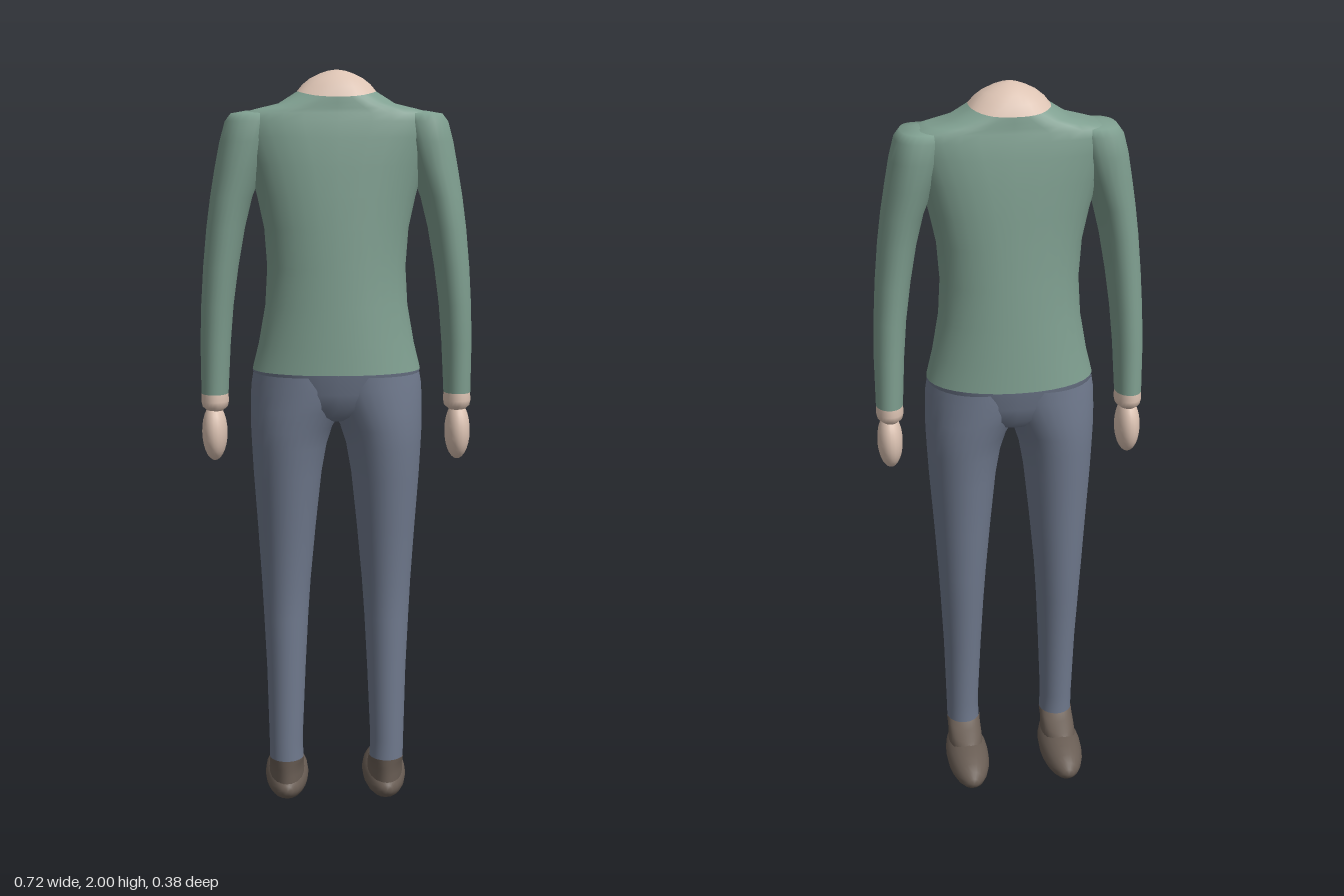
import * as THREE from 'three';

const mat = (name, color) => new THREE.MeshStandardMaterial({ name, color });

// Skin through horizontal sections, listed bottom to top:
// [y, inner x, outer x, back z, front z, squareness, side lift]
function loft(sections, side = 1, n = 32) {
  const pos = [], idx = [];
  sections.forEach(([y, x0, x1, z0, z1, p = 2, lift = 0]) => {
    const cx = side * (x0 + x1) / 2, rx = (x1 - x0) / 2;
    const cz = (z0 + z1) / 2, rz = (z1 - z0) / 2;
    for (let j = 0; j < n; j++) {
      const a = j / n * Math.PI * 2, c = Math.cos(a), s = Math.sin(a);
      pos.push(
        cx + rx * Math.sign(c) * Math.abs(c) ** (2 / p),
        y + lift * c * c,
        cz + rz * Math.sign(s) * Math.abs(s) ** (2 / p));
    }
  });
  for (let i = 0; i < sections.length - 1; i++)
    for (let j = 0; j < n; j++) {
      const a = i * n + j, b = i * n + (j + 1) % n;
      idx.push(a, a + n, b, b, a + n, b + n);
    }
  const g = new THREE.BufferGeometry();
  g.setAttribute('position', new THREE.Float32BufferAttribute(pos, 3));
  g.setIndex(idx);
  g.computeVertexNormals();
  return g;
}

// Section centred on x = 0
const mid = (y, hw, z0, z1, p, lift) => [y, -hw, hw, z0, z1, p, lift];

export function createModel() {
  const model = new THREE.Group();
  const shirt = mat('shirt green', 0x7f9f90);
  const trousers = mat('trouser blue', 0x707a8e);
  const skin = mat('skin', 0xdcc3b3);
  const leather = mat('shoe brown', 0x6a5e55);
  const add = (name, geo, material) => {
    const m = new THREE.Mesh(geo, material);
    m.name = name;
    model.add(m);
    return m;
  };

  // Shirt body, flaring into square shoulders and closing in on the neck
  add('torso', loft([
    mid(1.232, 0.222, -0.112, 0.190, 2.1),
    mid(1.30, 0.205, -0.108, 0.187, 2.1),
    mid(1.40, 0.187, -0.101, 0.181, 2.1),
    mid(1.50, 0.181, -0.094, 0.175, 2.1),
    mid(1.60, 0.188, -0.086, 0.169, 2.2),
    mid(1.68, 0.205, -0.081, 0.162, 2.3),
    mid(1.76, 0.226, -0.075, 0.155, 2.5),
    mid(1.83, 0.248, -0.067, 0.146, 2.8),
    mid(1.87, 0.260, -0.060, 0.138, 3),
    mid(1.89, 0.252, -0.055, 0.132, 3),
    mid(1.902, 0.205, -0.053, 0.130, 3),
    mid(1.915, 0.150, -0.052, 0.129, 3),
    mid(1.93, 0.102, -0.050, 0.127, 2.8, 0.015),
  ]), shirt);

  // Rounded stump of the neck
  add('neck', loft([
    mid(1.93, 0.102, -0.050, 0.127, 2.8, 0.015),
    mid(1.955, 0.087, -0.040, 0.117, 2.4, 0.008),
    mid(1.975, 0.068, -0.024, 0.101, 2.1, 0.003),
    mid(1.99, 0.043, -0.002, 0.079),
    mid(1.997, 0.022, 0.018, 0.060),
    mid(2.0, 0, 0.039, 0.039),
  ]), skin);

  // Seat of the trousers, closing between the legs
  add('hips', loft([
    mid(1.095, 0, 0.04, 0.04),
    mid(1.10, 0.045, -0.03, 0.11),
    mid(1.115, 0.10, -0.065, 0.145),
    mid(1.14, 0.165, -0.088, 0.166),
    mid(1.18, 0.212, -0.102, 0.180),
    mid(1.232, 0.222, -0.112, 0.190, 2.1),
  ]), trousers);

  for (const s of [1, -1]) {
    const tag = s > 0 ? 'left' : 'right';

    add(tag + 'Leg', loft([
      [0.14, 0.092, 0.185, -0.004, 0.101],
      [0.20, 0.094, 0.186, -0.005, 0.102],
      [0.40, 0.085, 0.191, -0.026, 0.106],
      [0.55, 0.077, 0.198, -0.044, 0.109],
      [0.65, 0.070, 0.203, -0.056, 0.112],
      [0.80, 0.056, 0.212, -0.070, 0.132],
      [0.95, 0.040, 0.222, -0.083, 0.154],
      [1.03, 0.026, 0.226, -0.091, 0.165],
      [1.08, 0.010, 0.228, -0.096, 0.171],
      [1.13, -0.02, 0.228, -0.101, 0.176],
      [1.19, -0.06, 0.226, -0.104, 0.180],
      [1.225, -0.06, 0.220, -0.104, 0.180],
    ], s), trousers);

    add(tag + 'Sleeve', loft([
      [1.165, 0.287, 0.359, -0.022, 0.077],
      [1.30, 0.279, 0.359, -0.022, 0.090],
      [1.40, 0.270, 0.355, -0.022, 0.102],
      [1.50, 0.256, 0.348, -0.024, 0.112],
      [1.60, 0.238, 0.338, -0.030, 0.120],
      [1.68, 0.218, 0.327, -0.038, 0.125],
      [1.75, 0.190, 0.315, -0.047, 0.129],
      [1.82, 0.170, 0.301, -0.053, 0.130, 2.3],
      [1.87, 0.160, 0.287, -0.050, 0.127, 2.5],
      [1.89, 0.160, 0.272, -0.040, 0.117, 2.5],
      [1.897, 0.180, 0.235, 0.01, 0.07],
      [1.898, 0.21, 0.21, 0.04, 0.04],
    ], s, 24), shirt);

    // Bare wrist below the sleeve
    add(tag + 'Wrist', loft([
      [1.118, 0.323, 0.323, 0.028, 0.028],
      [1.12, 0.300, 0.346, -0.006, 0.062],
      [1.13, 0.289, 0.357, -0.019, 0.074],
      [1.145, 0.286, 0.360, -0.023, 0.078],
      [1.167, 0.288, 0.358, -0.021, 0.076],
    ], s, 24), skin);

    const hand = add(tag + 'Hand', new THREE.SphereGeometry(1, 20, 14), skin);
    hand.scale.set(0.034, 0.077, 0.054);
    hand.position.set(s * 0.325, 1.06, 0.03);

    // Shoe: long rounded foot with the toe towards -z, and a sloping ankle
    const foot = add(tag + 'Shoe', new THREE.SphereGeometry(1, 20, 12).rotateX(Math.PI / 2), leather);
    foot.scale.set(0.061, 0.055, 0.15);
    foot.position.set(s * 0.138, 0.06, -0.04);

    add(tag + 'ShoeAnkle', loft([
      [0.06, 0.088, 0.188, -0.12, 0.100],
      [0.10, 0.090, 0.187, -0.098, 0.100],
      [0.118, 0.091, 0.186, -0.070, 0.101],
      [0.132, 0.091, 0.186, -0.030, 0.102],
      [0.146, 0.090, 0.187, -0.006, 0.103],
    ], s), leather);
  }
  return model;
}
